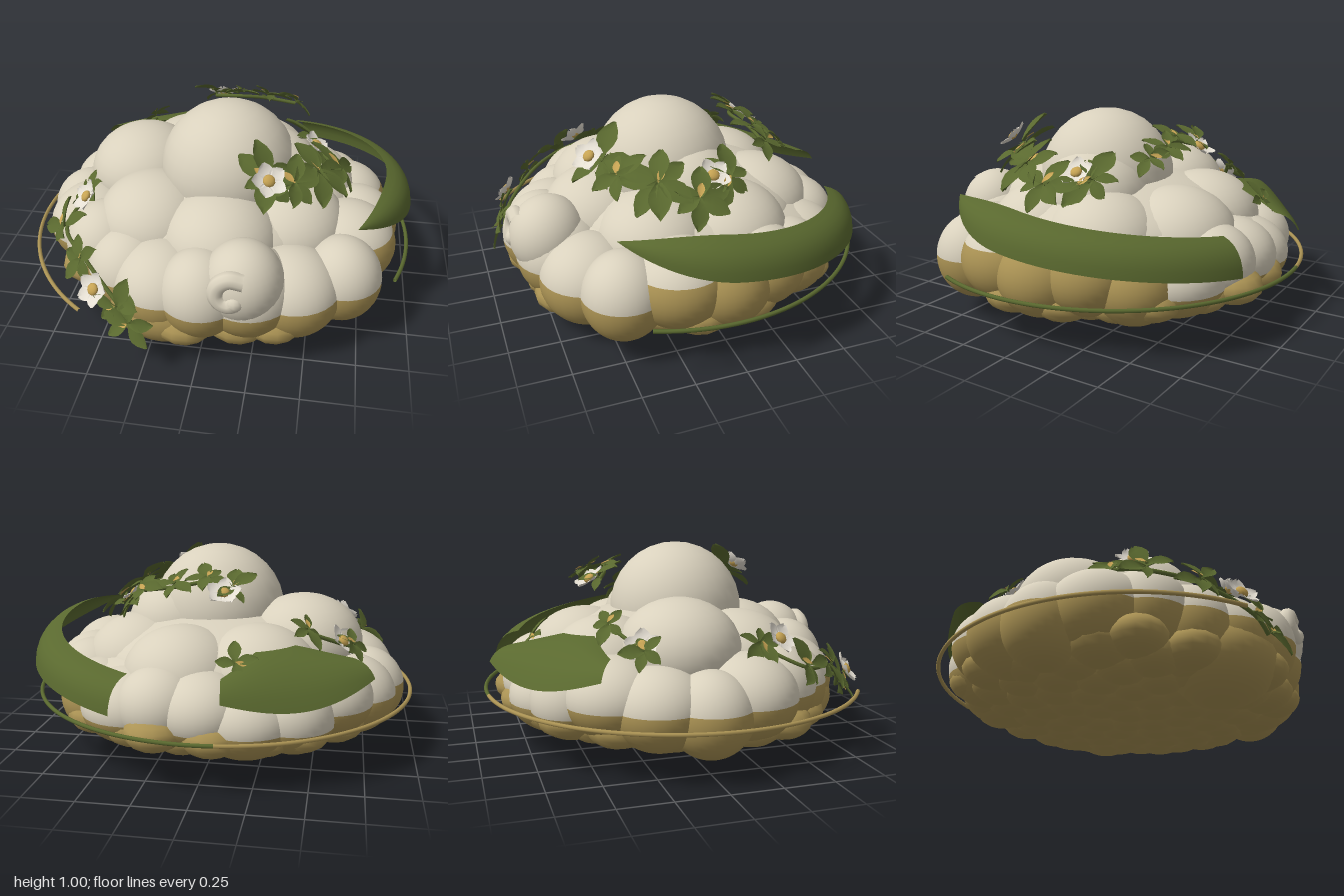
import * as THREE from 'three';

const mat = (name, color, side = THREE.FrontSide) => {
  const m = new THREE.MeshStandardMaterial({ color, side });
  m.name = name;
  return m;
};

export function createModel() {
  const ivory = mat('ivory', 0xd9d1bd);
  const gold = mat('gold', 0xab9354);
  const green = mat('leaf green', 0x5a692f, THREE.DoubleSide);
  const petalWhite = mat('petal white', 0xe6e0d4, THREE.DoubleSide);
  const amber = mat('amber', 0xc6a353, THREE.DoubleSide);

  const model = new THREE.Group();
  model.name = 'floweringCloud';
  const rad = Math.PI / 180;
  let seed = 7;
  const rnd = () => (seed = (seed * 16807) % 2147483647) / 2147483647;
  const add = (parent, name, geo, material) => {
    const mesh = new THREE.Mesh(geo, material);
    mesh.name = name;
    parent.add(mesh);
    return mesh;
  };
  const group = (name) => {
    const g = new THREE.Group();
    g.name = name;
    model.add(g);
    return g;
  };

  // Cloud puffs: ellipsoids split at the height where ivory turns to gold
  const cloud = group('cloud');
  const cutHeight = (x, z) => 0.32 + (x > 0.5 && Math.abs(z) < 0.4 ? 0.11 : 0) - (z < -0.45 ? 0.06 : 0);
  function puff(x, y, z, rx, ry, rz = rx) {
    const t = Math.acos(THREE.MathUtils.clamp((cutHeight(x, z) - y) / ry, -1, 1));
    const cap = (name, start, length, material) => {
      if (length < 0.01) return;
      const g = new THREE.SphereGeometry(1, 32, 14, 0, Math.PI * 2, start, length);
      add(cloud, name, g.scale(rx, ry, rz).translate(x, y, z), material);
    };
    cap('puffTop', 0, t, ivory);
    cap('puffBase', t, Math.PI - t, gold);
  }
  puff(0, 0.33, 0, 0.85, 0.25, 0.8); // wide core
  puff(0, 0.41, 0, 0.68, 0.28, 0.64); // upper core
  puff(0.04, 0.65, 0.08, 0.35, 0.35); // dome
  puff(0.24, 0.58, 0.02, 0.28, 0.25); // shoulder
  puff(0.2, 0.43, 0.72, 0.19, 0.2); // front puff with curl
  puff(-0.18, 0.2, 0.6, 0.3, 0.2, 0.27); // low front puff

  // Middle tier, given by the top height of each puff
  [0.66, 0.68, 0.68, 0.77, 0.67, 0.66, 0.66].forEach((top, i, all) => {
    const a = (32 + i * 360 / all.length) * rad;
    puff(0.43 * Math.cos(a), top - 0.25, 0.42 * Math.sin(a), 0.3, 0.25);
  });

  // Rim, given by the outer reach of each puff
  const reaches = [0.93, 0.95, 1, 0.95, 0.92, 0.92, 0.9, 0.87, 0.88, 0.93, 0.95, 0.93, 0.91, 0.9, 0.87, 0.85, 0.86, 0.88, 0.89, 0.9];
  reaches.forEach((reach, i, all) => {
    const a = i * 360 / all.length * rad, size = 0.225 + 0.025 * Math.sin(i * 2.3), r = reach - size;
    puff(r * Math.cos(a), 0.31 + 0.03 * Math.sin(i * 1.7), r * Math.sin(a), size, 0.205 + 0.02 * Math.sin(a));
  });

  // Underside: spiral of small gold lobes on a tilted bowl
  for (let i = 0; i < 80; i++) {
    const r = 0.77 * Math.sqrt((i + 0.5) / 80), a = i * 2.4;
    const x = r * Math.cos(a), z = r * Math.sin(a);
    const s = 0.11 + 0.03 * rnd();
    const y = 0.045 - 0.045 * z + 0.22 * r ** 4 + s * 0.75;
    add(cloud, 'undersideLobe', new THREE.SphereGeometry(s, 14, 10).scale(1.2, 0.75, 1.2).translate(x, y, z), gold);
  }

  // Curl on the front puff
  const curlPath = new THREE.CatmullRomCurve3(Array.from({ length: 7 }, (_, i) => {
    const a = 0.9 + i * 0.75, r = 0.09 - i * 0.009;
    return new THREE.Vector3(0.16 + r * Math.cos(a), 0.46 + r * Math.sin(a), 0.86 + i * 0.004);
  }));
  add(cloud, 'curl', new THREE.TubeGeometry(curlPath, 32, 0.042, 10), ivory);
  add(cloud, 'curlTip', new THREE.SphereGeometry(0.043, 12, 8).translate(...curlPath.getPoint(1).toArray()), ivory);

  // Thin open ring, half gold and half green
  const ring = group('ring');
  const arc = (name, from, to, material) => {
    const g = new THREE.TorusGeometry(0.985, 0.01, 8, 90, (to - from) * rad);
    add(ring, name, g.rotateZ(from * rad).rotateX(Math.PI / 2).translate(0, 0.27, 0.05), material);
  };
  arc('goldArc', 124, 264, gold);
  arc('greenArc', 264, 382, green);

  // Broad leaves: bulged strips sweeping around the cloud, sloping outward and down
  function broadLeaf(name, { angles, radius, height, size, taper, bulge }) {
    const nu = 40, nv = 6, { lerp } = THREE.MathUtils;
    const g = new THREE.PlaneGeometry(1, 1, nu, nv);
    const pos = g.attributes.position;
    for (let i = 0; i < pos.count; i++) {
      const t = pos.getX(i) + 0.5, w = pos.getY(i) * 2;
      const half = taper(t), lift = bulge * half * (1 - w * w);
      const a = lerp(...angles, t) * rad;
      const r = lerp(...radius, Math.sin(Math.PI * t)) - w * size[0] * half + lift;
      pos.setXYZ(i, r * Math.cos(a), lerp(...height, t) + w * size[1] * half + lift, r * Math.sin(a));
    }
    g.computeVertexNormals();
    add(model, name, g, green);
  }
  broadLeaf('archingLeaf', {
    angles: [36, -66], radius: [0.87, 0.92], height: [0.62, 0.43], size: [0.07, 0.08], bulge: 0.03,
    taper: (t) => Math.sin(Math.PI / 2 * Math.min(1, 3 * t)),
  });
  broadLeaf('backLeaf', {
    angles: [262, 213], radius: [0.87, 0.74], height: [0.49, 0.51], size: [0.17, 0.11], bulge: 0.04,
    taper: (t) => 0.35 + 0.65 * Math.sin(Math.PI * t),
  });

  // Small blade used by leaves and petals: points along +z, faces +y
  function blade(length, width, droop) {
    const g = new THREE.PlaneGeometry(1, 1, 2, 5).rotateX(-Math.PI / 2);
    const pos = g.attributes.position;
    for (let i = 0; i < pos.count; i++) {
      const t = pos.getZ(i) + 0.5, s = pos.getX(i) * 2;
      const w = width * (0.15 + 0.85 * Math.sin(Math.PI * Math.pow(t, 1.2)));
      pos.setXYZ(i, s * w * 0.5, 0.15 * width * Math.abs(s) - droop * length * t * t, t * length);
    }
    g.computeVertexNormals();
    return g;
  }

  // Sprigs face outward from the cloud
  const up = new THREE.Vector3(0, 1, 0);
  const garland = group('garland');
  function sprig(name, [x, y, z]) {
    const g = new THREE.Group();
    g.name = name;
    g.position.set(x, y, z);
    g.quaternion.setFromUnitVectors(up, new THREE.Vector3(x, 0.6, z).normalize());
    garland.add(g);
    return g;
  }
  function leaves(place, count, length) {
    const g = sprig('leafCluster', place);
    for (let i = 0; i < count; i++) {
      const size = length * (0.75 + 0.5 * rnd());
      const leaf = add(g, 'leaf', blade(size, size * 0.6, 0.3), green);
      leaf.rotation.set(-0.5 * rnd(), i * Math.PI * 2 / count + 0.6 * rnd(), 0.6 * (rnd() - 0.5), 'YXZ');
      leaf.position.y = 0.03 * rnd();
    }
    const bract = add(g, 'bract', blade(length * 0.5, length * 0.25, 0.1), amber);
    bract.rotation.y = Math.PI * 2 * rnd();
    bract.position.y = 0.035;
  }
  function flower(place) {
    const g = sprig('flower', place);
    for (let i = 0; i < 5; i++) add(g, 'petal', blade(0.085, 0.075, -0.25), petalWhite).rotation.y = i * Math.PI * 0.4;
    add(g, 'flowerCentre', new THREE.SphereGeometry(0.03, 10, 8).scale(1, 0.6, 1).translate(0, 0.015, 0), amber);
  }
  // A vine with a leaf cluster at each of its points
  function trail(count, length, places) {
    const path = new THREE.CatmullRomCurve3(places.map((p) => new THREE.Vector3(...p)));
    add(garland, 'vine', new THREE.TubeGeometry(path, 24, 0.01, 6), green);
    places.forEach((p) => leaves(p, count, length));
  }

  // Right side of the dome
  trail(6, 0.15, [[0.26, 0.8, 0.44], [0.38, 0.76, 0.4], [0.48, 0.74, 0.24], [0.57, 0.68, 0.08], [0.46, 0.71, -0.11]]);
  flower([0.28, 0.84, 0.51]);
  flower([0.47, 0.74, -0.03]);
  // Behind the dome
  trail(5, 0.11, [[-0.1, 0.83, -0.36], [0.03, 0.86, -0.31], [0.18, 0.84, -0.35], [0.34, 0.82, -0.35]]);
  flower([-0.06, 0.82, -0.4]);
  // Front left, trailing down over the rim
  trail(5, 0.12, [[-0.64, 0.56, 0.27], [-0.72, 0.46, 0.48], [-0.57, 0.42, 0.67], [-0.36, 0.31, 0.85], [-0.3, 0.24, 0.88]]);
  flower([-0.63, 0.58, 0.38]);
  flower([-0.48, 0.37, 0.82]);
  // Back left, around the broad leaf
  trail(5, 0.1, [[-0.66, 0.56, -0.28], [-0.45, 0.65, -0.39]]);
  flower([-0.62, 0.58, -0.28]);
  leaves([-0.16, 0.56, -0.69], 4, 0.1);

  return model;
}
